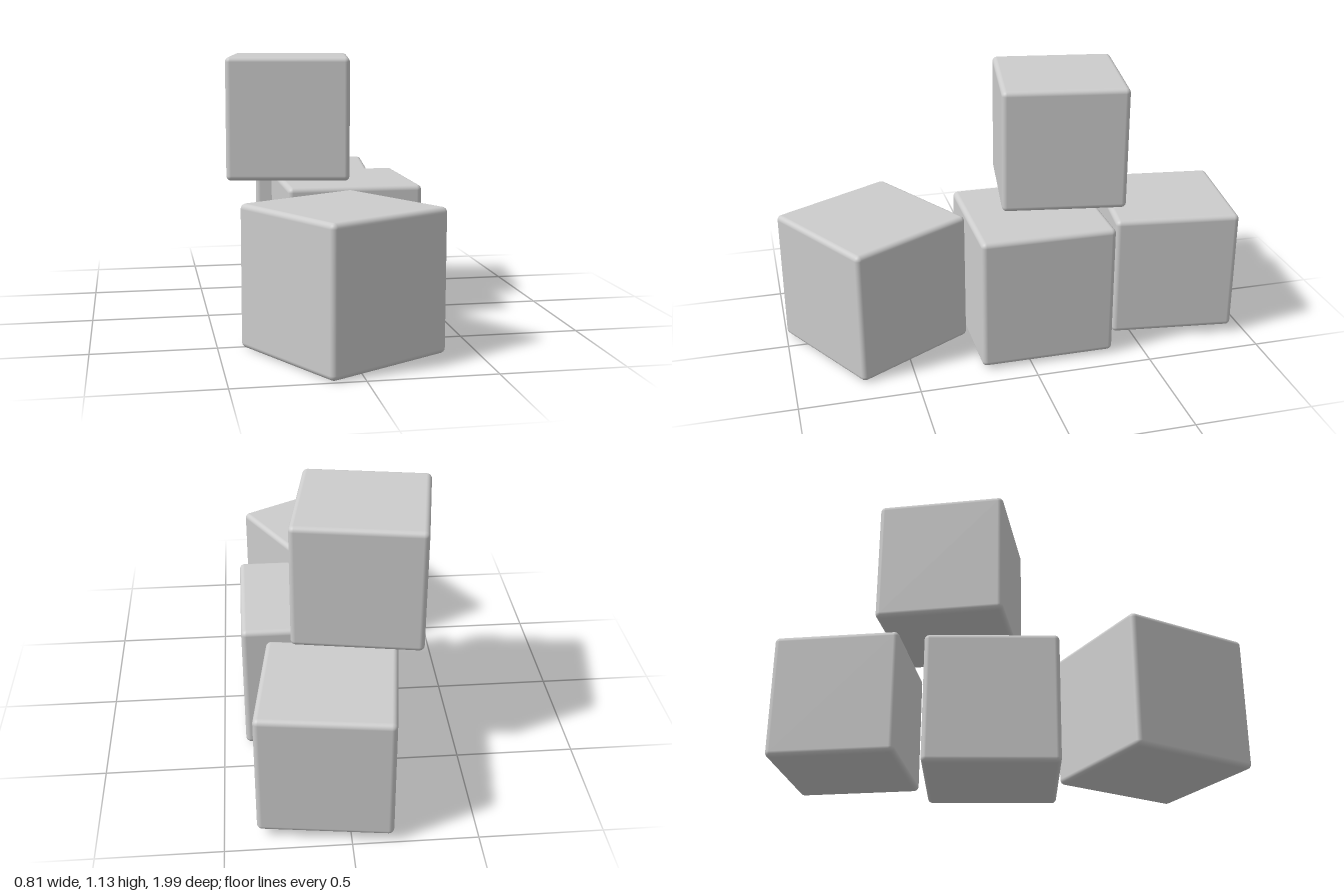
import * as THREE from 'three';
import { RoundedBoxGeometry } from 'three/addons/geometries/RoundedBoxGeometry.js';

export function createModel() {
  const group = new THREE.Group();
  const grey = new THREE.MeshStandardMaterial({ color: 0xcccccc });
  grey.name = 'light grey';

  // One softly bevelled cube, standing at height y and turned about the vertical
  const addCube = (name, size, x, y, z, turn) => {
    const cube = new THREE.Mesh(new RoundedBoxGeometry(size, size, size, 4, 0.022), grey);
    cube.name = name;
    cube.position.set(x, y + size / 2, z);
    cube.rotation.y = THREE.MathUtils.degToRad(turn);
    group.add(cube);
  };

  addCube('frontCube', 0.58, -0.015, 0.005, 0.607, 29.5);
  addCube('middleCube', 0.578, 0.116, 0.017, -0.074, 0);
  addCube('backCube', 0.54, 0.07, 0.04, -0.7, -7.5);
  addCube('topCube', 0.54, -0.102, 0.595, -0.252, -9.5);

  return group;
}
